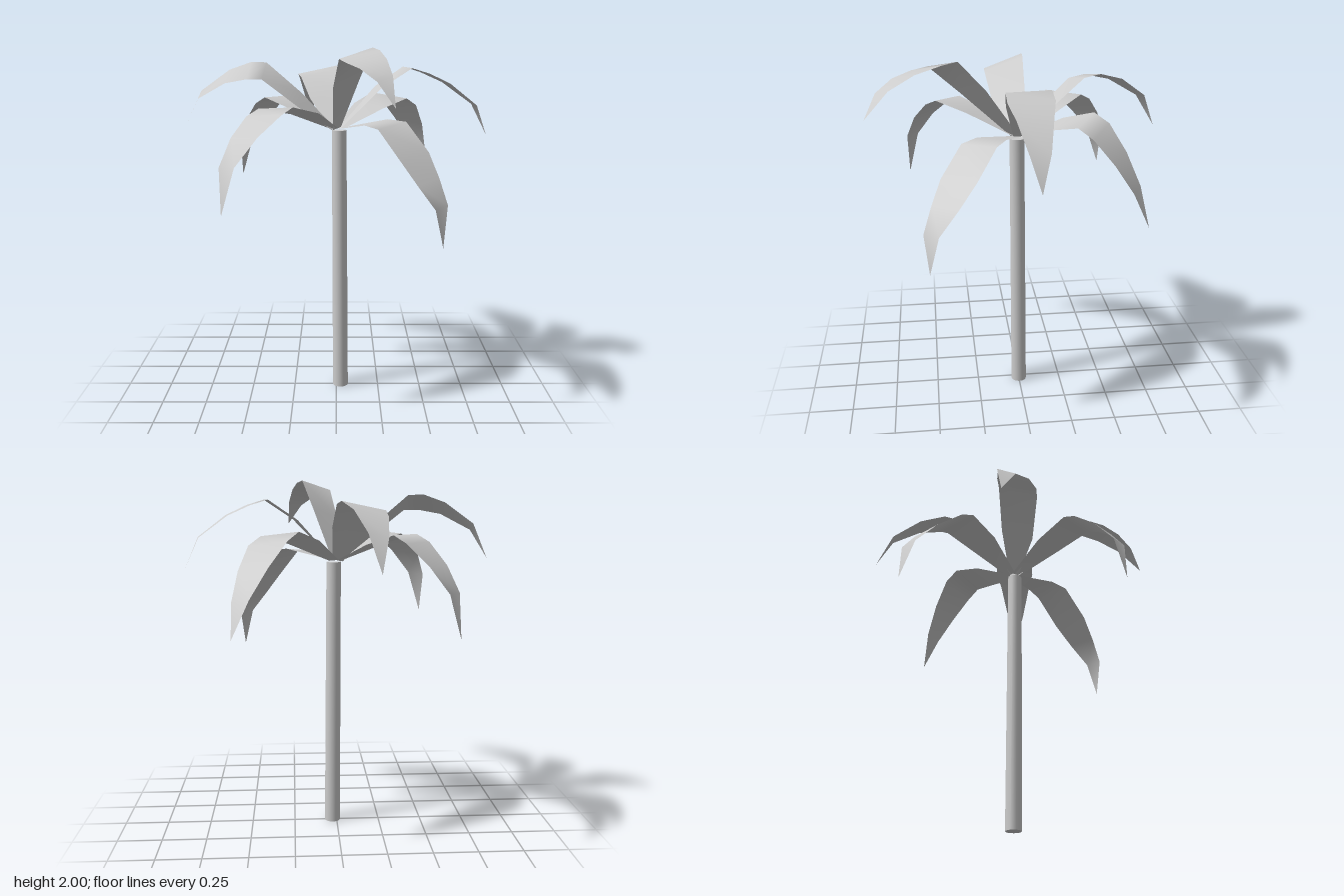
import * as THREE from 'three';

const material = new THREE.MeshStandardMaterial({ color: 0xcccccc });
const leafMaterial = new THREE.MeshStandardMaterial({ color: 0xcccccc, side: THREE.DoubleSide });
const TRUNK_HEIGHT = 1.54;

// Half widths of a frond from its root to the last cross-section before the tip
const HALF_WIDTHS = [0.03, 0.097, 0.118, 0.12, 0.092, 0.053];

// Each frond: heading in degrees, sideways bow, drop and lead of its right edge,
// and its arch as [reach, height] from root to tip
const FRONDS = [
  { heading: 1, bow: 0, drop: 0, lead: 0.12,
    arch: [[0.02, 0.01], [0.23, 0.235], [0.393, 0.345], [0.49, 0.315], [0.61, 0.26], [0.77, 0.14], [0.845, -0.03]] },
  { heading: 47.5, bow: 0.02, drop: 0.12, lead: 0.2,
    arch: [[0.02, 0.01], [0.26, 0.12], [0.443, 0.17], [0.535, 0.125], [0.65, 0], [0.75, -0.15], [0.825, -0.34]] },
  { heading: 101.9, bow: -0.025, drop: -0.2, lead: 0,
    arch: [[0.02, 0.01], [0.2, 0.18], [0.345, 0.3], [0.44, 0.315], [0.58, 0.28], [0.735, 0.18], [0.825, 0]] },
  { heading: 136, bow: -0.02, drop: 0, lead: 0.1,
    arch: [[0.02, 0.01], [0.27, 0.11], [0.46, 0.165], [0.545, 0.125], [0.68, 0.01], [0.785, -0.12], [0.833, -0.35]] },
  { heading: 178, bow: -0.055, drop: -0.38, lead: 0,
    arch: [[0.02, 0.01], [0.2, 0.17], [0.393, 0.328], [0.477, 0.33], [0.6, 0.297], [0.762, 0.195], [0.85, 0.02]] },
  { heading: -133, bow: -0.027, drop: 0.08, lead: 0.1,
    arch: [[0.02, 0.01], [0.27, 0.11], [0.485, 0.155], [0.565, 0.12], [0.69, 0.02], [0.8, -0.12], [0.84, -0.36]] },
  { heading: -71.4, bow: 0.035, drop: 0.25, lead: 0.42,
    arch: [[0.02, 0.01], [0.25, 0.27], [0.415, 0.43], [0.505, 0.417], [0.63, 0.385], [0.75, 0.32], [0.854, 0.19]] },
  { heading: -43, bow: -0.03, drop: 0.1, lead: 0,
    arch: [[0.02, 0.01], [0.27, 0.06], [0.38, 0.05], [0.54, -0.1], [0.64, -0.22], [0.735, -0.34], [0.753, -0.55]] },
];

// Ribbon of paired edge points along +x, closing in a single tip
function frondGeometry({ bow, drop, lead, arch }) {
  const points = [];
  const index = [];
  const [tipReach, tipHeight] = arch[arch.length - 1];
  const across = new THREE.Vector3(lead, -drop, 1).normalize();
  HALF_WIDTHS.forEach((w, i) => {
    const [reach, height] = arch[i];
    const center = new THREE.Vector3(reach, height, bow * Math.sin(Math.PI * reach / tipReach));
    for (const side of [-w, w]) points.push(...center.clone().addScaledVector(across, side));
    const a = 2 * i;
    if (i < HALF_WIDTHS.length - 1) index.push(a, a + 1, a + 2, a + 1, a + 3, a + 2);
    else index.push(a, a + 1, a + 2);
  });
  points.push(tipReach, tipHeight, 0);
  const geometry = new THREE.BufferGeometry();
  geometry.setAttribute('position', new THREE.Float32BufferAttribute(points, 3));
  geometry.setIndex(index);
  geometry.computeVertexNormals();
  return geometry;
}

// Round trunk with a slight lean
function makeTrunk() {
  const geometry = new THREE.CylinderGeometry(0.041, 0.045, TRUNK_HEIGHT, 16);
  geometry.translate(0, TRUNK_HEIGHT / 2, 0);
  const p = geometry.attributes.position;
  for (let i = 0; i < p.count; i++) {
    const t = p.getY(i) / TRUNK_HEIGHT;
    p.setX(i, p.getX(i) + 0.025 - 0.009 * t);
    p.setZ(i, p.getZ(i) + 0.009 * t);
  }
  const trunk = new THREE.Mesh(geometry, material);
  trunk.name = 'trunk';
  return trunk;
}

export function createModel() {
  const palm = new THREE.Group();
  palm.name = 'palmTree';
  palm.add(makeTrunk());

  const crown = new THREE.Group();
  crown.name = 'crown';
  crown.position.y = TRUNK_HEIGHT;
  FRONDS.forEach((shape, i) => {
    const frond = new THREE.Mesh(frondGeometry(shape), leafMaterial);
    frond.name = `frond${i + 1}`;
    frond.rotation.y = THREE.MathUtils.degToRad(shape.heading);
    crown.add(frond);
  });
  palm.add(crown);
  return palm;
}
